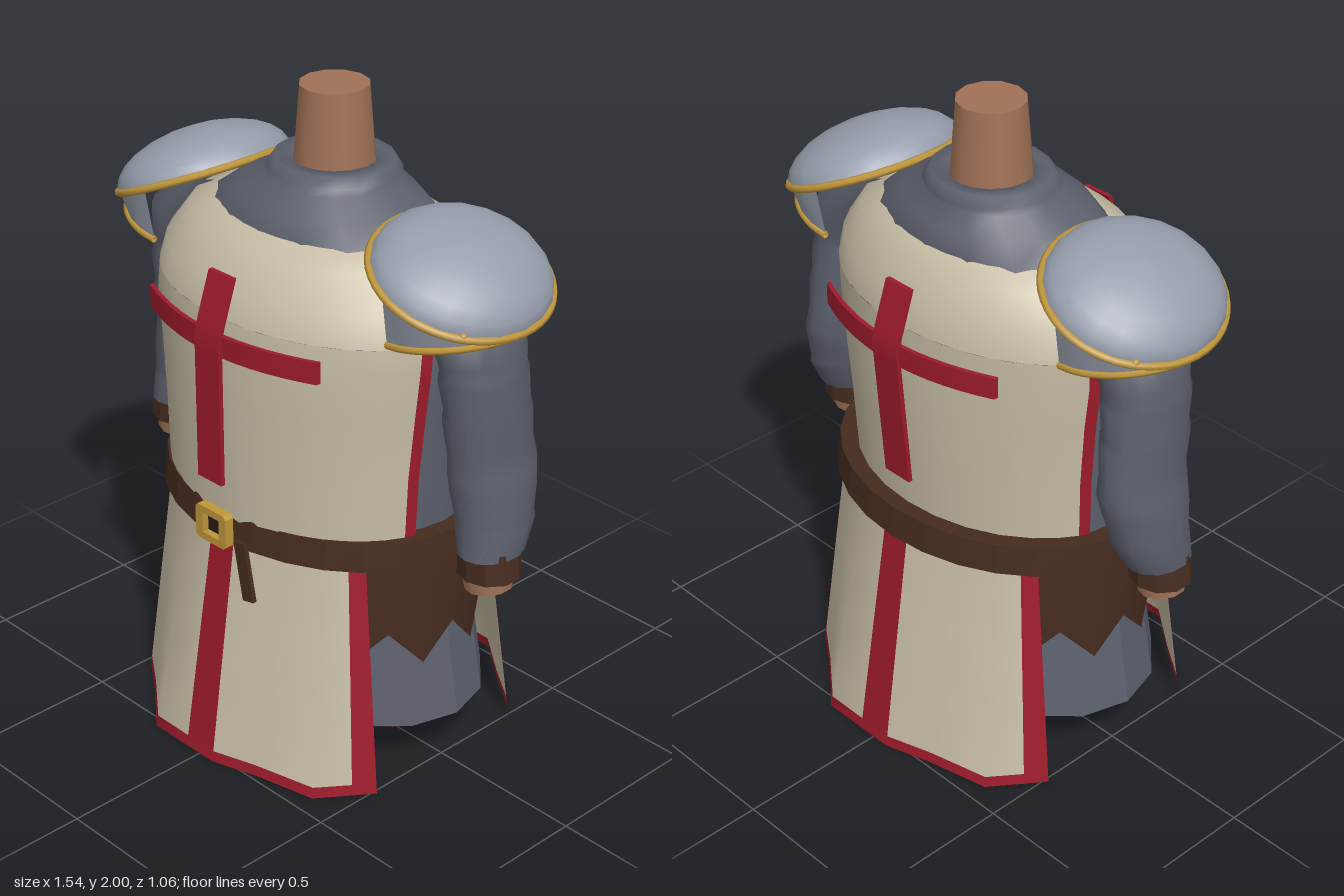
import * as THREE from 'three';

const mat = (name, color) => {
  const m = new THREE.MeshStandardMaterial({ color, side: THREE.DoubleSide });
  m.name = name;
  return m;
};
const { sin, cos, PI, sqrt, max } = Math;

export function createModel() {
  const cloth = mat('cream cloth', 0xc8bea6), red = mat('red cloth', 0x9e1b2b);
  const mail = mat('grey mail', 0x5c606c), steel = mat('pale steel', 0x969dab);
  const gold = mat('gold trim', 0xc0963a), leather = mat('brown leather', 0x452b1f);
  const dark = mat('dark leather', 0x2a1c16), skin = mat('skin', 0xa17257);

  const model = new THREE.Group();
  model.name = 'armouredTorso';
  const add = (name, geo, m, parent = model) => {
    const mesh = new THREE.Mesh(geo, m);
    mesh.name = name;
    parent.add(mesh);
    return mesh;
  };

  // Skin over rows of [x, y, z] points, listed top to bottom
  const loft = (rows, closed = false, flat = false) => {
    const n = rows[0].length, idx = [];
    for (let i = 0; i < rows.length - 1; i++) {
      for (let j = 0; j < (closed ? n : n - 1); j++) {
        const k = (j + 1) % n;
        const a = i * n + j, b = i * n + k, c = a + n, d = b + n;
        idx.push(a, c, b, b, c, d);
      }
    }
    let g = new THREE.BufferGeometry();
    g.setAttribute('position', new THREE.Float32BufferAttribute(rows.flat(2), 3));
    g.setIndex(idx);
    if (flat) g = g.toNonIndexed();
    g.computeVertexNormals();
    return g;
  };
  // Elliptical ring [y, rx, rz, zc, xc], angle 0 at the front
  const arc = ([y, rx, rz, zc = 0, xc = 0], a0, a1, n) =>
    Array.from({ length: n + 1 }, (_, i) => {
      const a = a0 + (a1 - a0) * i / n;
      return [xc + rx * sin(a), y, zc + rz * cos(a)];
    });
  const arcs = (rings, a0, a1, n) => loft(rings.map(r => arc(r, a0, a1, n)));
  const rounds = (rings, n = 24, flat = false) =>
    loft(rings.map(r => arc(r, 0, 2 * PI, n).slice(0, n)), true, flat);

  // Neck and mail collar
  const neck = add('neck', new THREE.CylinderGeometry(0.102, 0.128, 0.32, 12), skin);
  neck.position.set(0, 1.84, -0.03);
  add('mailCollar', rounds([
    [1.74, 0.11, 0.11, -0.03], [1.785, 0.13, 0.13, -0.03], [1.785, 0.18, 0.17, -0.03],
    [1.755, 0.2, 0.19, -0.03], [1.735, 0.21, 0.19, -0.02], [1.69, 0.3, 0.24, -0.01],
    [1.63, 0.39, 0.275, -0.01], [1.58, 0.42, 0.27, 0]], 16), mail);

  // Surcoat: closed shoulders, open sides with red edging
  const body = [
    [1.637, 0.37, 0.27, -0.01], [1.6, 0.46, 0.325, 0], [1.5, 0.53, 0.385, 0.01],
    [1.42, 0.553, 0.4, 0.015], [1.34, 0.553, 0.405, 0.02], [1.2, 0.535, 0.405, 0.02],
    [1.0, 0.515, 0.4, 0.025], [0.76, 0.505, 0.39, 0.03]];
  add('surcoatShoulders', rounds(body.slice(0, 4), 32), cloth);
  const sides = body.slice(3);
  for (const [label, mid, inner, outer] of [['Front', 0, 1.25, 1.33], ['Back', PI, 1.16, 1.24]]) {
    add('surcoat' + label, arcs(sides, mid - inner, mid + inner, 18), cloth);
    for (const s of [-1, 1])
      add('surcoatEdge' + label, arcs(sides, mid + s * (s > 0 ? inner : outer),
        mid + s * (s > 0 ? outer : inner), 1), red);
  }
  add('mailShirt', rounds([[1.6, 0.42, 0.27], [1.45, 0.51, 0.35], [1.2, 0.495, 0.36],
    [0.72, 0.48, 0.36]]), mail);

  // Curved cross on chest and back
  const band = (w, h, cy, f) => {
    const g = new THREE.BoxGeometry(w, h, 0.014, 14, 14, 1).translate(0, cy, 0);
    const p = g.attributes.position;
    for (let i = 0; i < p.count; i++) p.setZ(i, p.getZ(i) + f(p.getX(i), p.getY(i)));
    g.computeVertexNormals();
    return g;
  };
  for (const [label, turn, lean] of [['front', 0, 0], ['back', PI, 0.08]]) {
    const g = new THREE.Group();
    g.name = label + 'Cross';
    g.rotation.y = turn;
    g.position.z = turn ? 0.02 : 0;
    add('crossUpright', band(0.1, 0.63, 1.235,
      (x, y) => 0.456 - max(0, y - 1.38) * 0.34 - max(0, 1.38 - y) * lean), red, g);
    add('crossBar', band(0.7, 0.067, 1.357, x => 0.445 - 0.08 * (x / 0.35) ** 2), red, g);
    model.add(g);
  }

  // Belt, buckle and hanging strap end
  add('belt', rounds([[0.81, 0.49, 0.37], [0.81, 0.545, 0.42], [0.72, 0.552, 0.435],
    [0.72, 0.49, 0.37]], 28, true), leather);
  const frame = new THREE.Shape();
  const corners = [[-0.065, -0.045], [-0.055, -0.055], [0.055, -0.055], [0.065, -0.045],
    [0.065, 0.045], [0.055, 0.055], [-0.055, 0.055], [-0.065, 0.045]];
  frame.setFromPoints(corners.map(c => new THREE.Vector2(...c)));
  frame.holes.push(new THREE.Path([[-0.035, -0.032], [-0.035, 0.032], [0.035, 0.032],
    [0.035, -0.032]].map(c => new THREE.Vector2(...c))));
  add('buckle', new THREE.ExtrudeGeometry(frame, { depth: 0.03, bevelEnabled: false }), gold)
    .position.set(0, 0.768, 0.434);
  add('buckleCentre', new THREE.BoxGeometry(0.075, 0.07, 0.008), dark).position.set(0, 0.768, 0.438);
  const strap = add('strapEnd', new THREE.BoxGeometry(0.045, 0.185, 0.014), leather);
  strap.position.set(0.122, 0.66, 0.442);
  strap.rotation.z = 0.2;

  // Skirt panels: hem points swept up to the belt, edged in red
  const hem = [[-0.513, 0.285], [-0.47, 0.325], [-0.35, 0.41], [-0.2, 0.53], [-0.058, 0.53],
    [0.058, 0.53], [0.2, 0.485], [0.4, 0.44], [0.47, 0.345], [0.513, 0.285]];
  const hemRow = y => hem.map(([x, z]) => {
    const k = y / 0.75, tx = x * 0.815, tz = 0.415 * sqrt(1 - (tx / 0.52) ** 2);
    return [x + (tx - x) * k, y, z + (tz - z) * k];
  });
  const rows = [0.75, 0.5, 0.25, 0.038].map(hemRow);
  for (const [label, turn] of [['front', 0], ['back', PI]]) {
    const g = new THREE.Group();
    g.name = label + 'Skirt';
    g.rotation.y = turn;
    for (const [name, a, b, m] of [['skirtEdge', 0, 1, red], ['skirtPanel', 1, 4, cloth],
      ['skirtStripe', 4, 5, red], ['skirtPanel', 5, 8, cloth], ['skirtEdge', 8, 9, red]])
      add(name, loft(rows.map(r => r.slice(a, b + 1))), m, g);
    add('skirtHem', loft([hemRow(0.038), hemRow(0.004)]), red, g);
    model.add(g);
  }

  // Mail skirt with a thick hem, and pointed leather tassets over it
  add('mailSkirt', rounds([[0.75, 0.48, 0.33], [0.5, 0.505, 0.35], [0.18, 0.56, 0.385],
    [0.18, 0.52, 0.35], [0.3, 0.49, 0.33]], 16, true), mail);
  const points = Array.from({ length: 24 }, (_, k) => {
    const a = k * PI / 12;
    return [0.53 * sin(a), k % 2 ? 0.38 : 0.49, 0.385 * cos(a)];
  });
  add('leatherTassets', loft([[0.76, 0.52, 0.365], [0.6, 0.527, 0.375]]
    .map(r => arc(r, 0, 2 * PI, 24).slice(0, 24)).concat([points]), true), leather);

  // Arms, pauldrons and legs, built on the left and mirrored
  const tilt = 0.4;
  const rim = (t, k = 1, h = 0) => {
    const u = 0.25 * k * cos(t);
    return [0.53 + u * cos(tilt) + h * sin(tilt), 1.597 - u * sin(tilt) + h * cos(tilt),
      -0.275 * k * sin(t)];
  };
  const tube = (pts, r, closed) => new THREE.TubeGeometry(
    new THREE.CatmullRomCurve3(pts.map(p => new THREE.Vector3(...p)), closed), 48, r, 6, closed);
  const turns = Array.from({ length: 20 }, (_, i) => i * PI / 10);
  for (const s of [1, -1]) {
    const side = new THREE.Group();
    side.name = s > 0 ? 'leftSide' : 'rightSide';
    side.scale.x = s;
    model.add(side);

    add('mailSleeve', rounds([
      [1.62, 0.09, 0.12, -0.01, 0.45], [1.5, 0.12, 0.165, -0.01, 0.56],
      [1.38, 0.1, 0.15, -0.02, 0.6], [1.34, 0.1, 0.143, -0.02, 0.605],
      [1.32, 0.108, 0.15, -0.02, 0.605], [1.22, 0.1, 0.143, -0.03, 0.615],
      [1.2, 0.108, 0.15, -0.03, 0.615], [1.1, 0.1, 0.145, -0.04, 0.62],
      [1.04, 0.107, 0.15, -0.045, 0.625], [0.98, 0.11, 0.142, -0.04, 0.635],
      [0.9, 0.099, 0.128, -0.035, 0.648], [0.88, 0.103, 0.13, -0.035, 0.65],
      [0.79, 0.089, 0.108, -0.01, 0.663]], 14), mail, side);
    add('cuff', rounds([[0.81, 0.088, 0.09, 0, 0.662], [0.72, 0.095, 0.093, 0, 0.668],
      [0.72, 0.06, 0.06, 0, 0.667]], 10, true), leather, side);
    const wrist = add('wrist', new THREE.CylinderGeometry(0.078, 0.07, 0.07, 10), skin, side);
    wrist.position.set(0.667, 0.708, 0.004);
    wrist.rotation.z = 0.14;

    const dome = [1, 0.99, 0.95, 0.85, 0.7, 0.5, 0.26, 0.001];
    add('pauldron', loft(dome.map(k => turns.map(t => rim(t, k, 0.13 * sqrt(1 - k * k))))
      .reverse(), true), steel, side);
    add('pauldronRim', tube(turns.map(t => rim(t)), 0.012, true), gold, side);

    // Lower shoulder plate and its trim
    const sweep = Array.from({ length: 15 }, (_, i) => 1.75 - i * 0.25);
    const low = sweep.map(t => {
      const [x, , z] = rim(t);
      return [x - 0.005, 1.45 + (x - 0.5) * 0.18, z * 0.88];
    });
    add('shoulderPlate', loft([sweep.map(t => rim(t, 0.98)), low]), steel, side);
    add('shoulderPlateTrim', tube(low, 0.011, false), gold, side);
    for (const z of [-0.175, 0.175])
      add('rivet', new THREE.SphereGeometry(0.012, 8, 6), gold, side).position.set(0.705, 1.53, z);

    const leg = add('leg', new THREE.CylinderGeometry(0.21, 0.16, 0.44, 8), leather, side);
    leg.position.set(0.215, 0.28, 0.005);
    leg.rotation.y = PI / 8;
  }
  return model;
}
